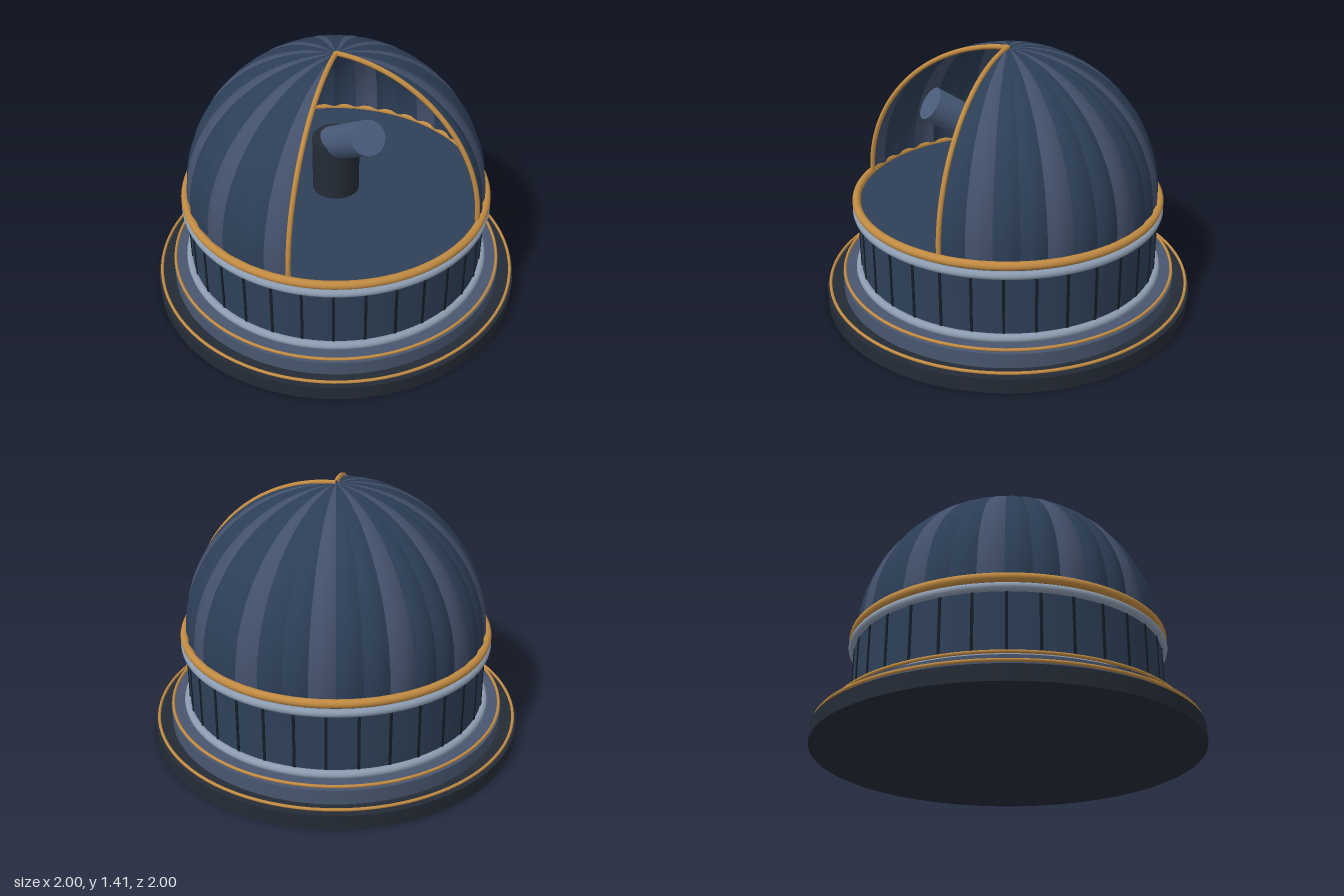
import * as THREE from 'three';

const mat = (color, side = THREE.FrontSide) => new THREE.MeshStandardMaterial({ color, side });
const GOLD = mat(0xc08a42), SILVER = mat(0x8c9cb0), DARK = mat(0x242b36), STEEL = mat(0x48566e);
const BLUE = mat(0x2e4058), SEAM = mat(0x161d27), SCOPE = mat(0x4a5d7c);
const GORES = [mat(0x2c3e56, THREE.DoubleSide), mat(0x43506a, THREE.DoubleSide)];

const DOME_Y = 0.6, DOME_R = 0.79;
const OPEN_LEFT = THREE.MathUtils.degToRad(44.5);   // slit edges, measured from +z towards +x
const OPEN_RIGHT = THREE.MathUtils.degToRad(-38.4);

export function createModel() {
  const model = new THREE.Group();
  const add = (name, geometry, material, parent = model) => {
    const mesh = new THREE.Mesh(geometry, material);
    mesh.name = name;
    parent.add(mesh);
    return mesh;
  };
  const drum = (name, r, y0, y1, material) => {
    const mesh = add(name, new THREE.CylinderGeometry(r, r, y1 - y0, 96), material);
    mesh.position.y = (y0 + y1) / 2;
  };
  const ring = (name, r, tube, y, material) => {
    const mesh = add(name, new THREE.TorusGeometry(r, tube, 12, 96), material);
    mesh.rotation.x = Math.PI / 2;
    mesh.position.y = y;
  };

  // Stepped base, drum wall and floor
  drum('basePlinth', 1, 0, 0.08, DARK);
  drum('baseStep', 0.91, 0.08, 0.16, STEEL);
  drum('drumWall', 0.805, 0.16, 0.585, BLUE);

  // Trim rings
  ring('plinthTrim', 0.982, 0.008, 0.103, GOLD);
  ring('stepTrim', 0.9, 0.008, 0.178, GOLD);
  ring('lowerBand', 0.815, 0.022, 0.188, SILVER);
  ring('upperBand', 0.815, 0.021, 0.537, SILVER);
  ring('domeRail', 0.813, 0.022, 0.587, GOLD);

  // Vertical seams around the wall
  const seams = new THREE.Group();
  seams.name = 'wallSeams';
  model.add(seams);
  for (let i = 0; i < 32; i++) {
    const a = (i / 32) * Math.PI * 2;
    const seam = add('wallSeam', new THREE.BoxGeometry(0.014, 0.33, 0.014), SEAM, seams);
    seam.position.set(0.803 * Math.sin(a), 0.36, 0.803 * Math.cos(a));
    seam.rotation.y = a;
  }

  // Dome of puffed gores, leaving a wedge open at the front
  const dome = new THREE.Group();
  dome.name = 'dome';
  dome.position.y = DOME_Y;
  model.add(dome);
  const count = 29;
  const step = (Math.PI * 2 - (OPEN_LEFT - OPEN_RIGHT)) / count;
  for (let i = 0; i < count; i++) {
    const across = 8, up = 28;
    const gore = new THREE.PlaneGeometry(1, 1, across, up);
    const p = gore.attributes.position;
    for (let k = 0; k < p.count; k++) {
      const u = p.getX(k) + 0.5, v = p.getY(k) + 0.5;
      const a = OPEN_LEFT + (i + u) * step, e = v * Math.PI / 2;
      const r = (DOME_R + 0.014 * Math.sin(u * Math.PI)) * Math.cos(e);
      p.setXYZ(k, r * Math.sin(a), 0.795 * Math.sin(e), r * Math.cos(a));
    }
    gore.computeVertexNormals();
    add('domeGore', gore, GORES[i % 3 === 1 ? 1 : 0], dome);
  }

  // Gilded ribs along both edges of the opening
  for (const [name, a] of [['leftRib', OPEN_LEFT], ['rightRib', OPEN_RIGHT]]) {
    const points = [];
    for (let k = 0; k <= 16; k++) {
      const e = (k / 16) * Math.PI / 2, r = 0.797 * Math.cos(e);
      points.push(new THREE.Vector3(r * Math.sin(a), 0.797 * Math.sin(e), r * Math.cos(a)));
    }
    add(name, new THREE.TubeGeometry(new THREE.CatmullRomCurve3(points), 48, 0.013, 10), GOLD, dome);
  }

  // Telescope on its pier, aimed out through the opening
  const pier = add('telescopePier', new THREE.CylinderGeometry(0.125, 0.125, 0.32, 40), DARK);
  pier.position.y = 0.74;
  const tilt = THREE.MathUtils.degToRad(34), length = 0.56;
  const tube = add('telescopeTube', new THREE.CylinderGeometry(0.088, 0.088, length, 40), SCOPE);
  tube.rotation.x = Math.PI / 2 - tilt;
  tube.position.set(0, 1.15 - Math.sin(tilt) * length / 2, 0.42 - Math.cos(tilt) * length / 2);

  return model;
}
